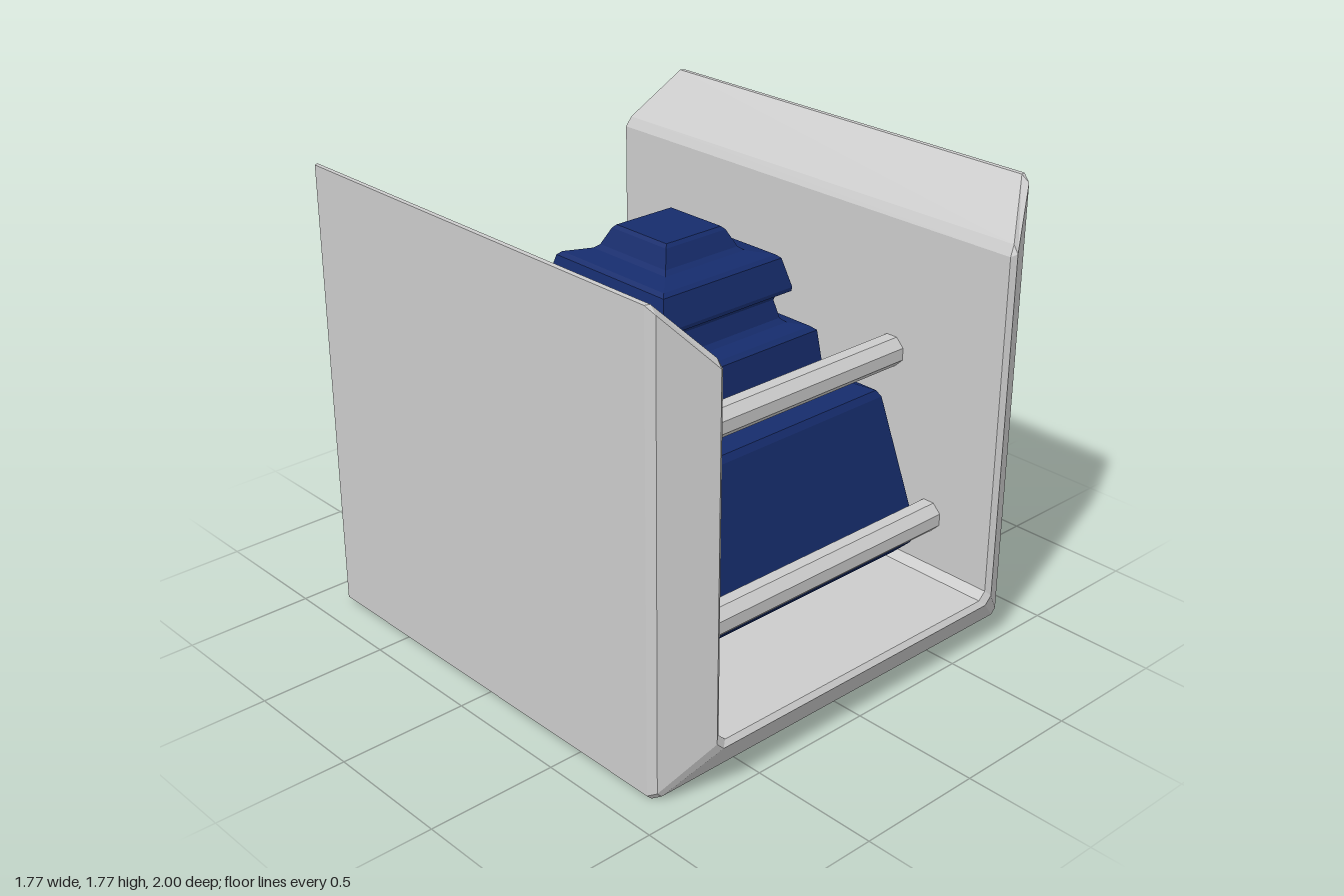
import * as THREE from 'three';

const grey = new THREE.MeshStandardMaterial({ color: 0xcccccc, flatShading: true, side: THREE.DoubleSide });
const navy = new THREE.MeshStandardMaterial({ color: 0x162c6c, flatShading: true, side: THREE.DoubleSide });

// Flat-shaded sheet through rows of [x, y, z] points
function sheet(name, rows, material) {
  const pos = [];
  for (let i = 0; i < rows.length - 1; i++) {
    for (let j = 0; j < rows[i].length - 1; j++) {
      const a = rows[i][j], b = rows[i + 1][j], c = rows[i + 1][j + 1], d = rows[i][j + 1];
      pos.push(...a, ...b, ...c, ...a, ...c, ...d);
    }
  }
  const geometry = new THREE.BufferGeometry();
  geometry.setAttribute('position', new THREE.Float32BufferAttribute(pos, 3));
  geometry.computeVertexNormals();
  const mesh = new THREE.Mesh(geometry, material);
  mesh.name = name;
  return mesh;
}

// U-shaped section: half width, bottom, top, corner chamfer, depth
function uSection([w, b, t, c, z]) {
  return [[w, t, z], [w, b + c, z], [w - c, b, z], [c - w, b, z], [-w, b + c, z], [-w, t, z]];
}

function createHousing() {
  const group = new THREE.Group();
  group.name = 'housing';

  // Outer skin, chamfered front frame and inner lining, open at the back
  const sections = [
    [0.885, 0, 1.775, 0.02, -0.87],
    [0.885, 0, 1.775, 0.02, 0.86],
    [0.87, 0.02, 1.75, 0.02, 0.895],
    [0.70, 0.18, 1.56, 0.03, 1.0],
    [0.68, 0.20, 1.55, 0.03, 0.985],
    [0.68, 0.20, 1.55, 0.03, -1.0],
  ];
  group.add(sheet('housingShell', sections.map(uSection), grey));

  // Sloping top of each side wall: back edge, front edge, frame edge
  const slope = [
    [[0.885, 1.775, -0.87], [0.885, 1.775, 0.86], [0.885, 1.775, 0.86]],
    [[0.868, 1.775, -0.88], [0.865, 1.775, 0.865], [0.87, 1.75, 0.895]],
    [[0.70, 1.59, -0.99], [0.70, 1.59, 0.98], [0.70, 1.56, 1.0]],
    [[0.68, 1.55, -1.0], [0.68, 1.55, 0.985], [0.68, 1.55, 0.985]],
  ];
  for (const s of [1, -1]) {
    const top = sheet(s > 0 ? 'leftWallTop' : 'rightWallTop', slope, grey);
    top.scale.x = s;
    group.add(top);
  }
  return group;
}

// Stepped square hood: front and two sides, with the back open
function createHood() {
  const group = new THREE.Group();
  group.name = 'hood';
  const profile = [
    [0.60, 0.265], [0.645, 0.31], [0.658, 0.345], [0.655, 0.375],
    [0.55, 0.915], [0.535, 0.94], [0.42, 0.99], [0.398, 1.01],
    [0.378, 1.175], [0.36, 1.19], [0.30, 1.203], [0.282, 1.22],
    [0.265, 1.29], [0.27, 1.305], [0.31, 1.325], [0.312, 1.34],
    [0.283, 1.45], [0.268, 1.463], [0.19, 1.478], [0.172, 1.492],
    [0.142, 1.555], [0.13, 1.567],
  ];
  const rows = profile.map(([r, y]) => [[r, y, -r], [r, y, r], [-r, y, r], [-r, y, -r]]);
  group.add(sheet('hoodWalls', rows, navy));

  // Closing plates at the bottom and top
  for (const [name, [r, y], turn] of [
    ['hoodBase', profile[0], Math.PI / 2],
    ['hoodCap', profile[profile.length - 1], -Math.PI / 2],
  ]) {
    const plate = new THREE.Mesh(new THREE.PlaneGeometry(2 * r, 2 * r), navy);
    plate.name = name;
    plate.rotation.x = turn;
    plate.position.y = y;
    group.add(plate);
  }
  return group;
}

// Octagonal crossbar whose back and lower back faces are open
function createBar(name, y, z) {
  const radius = 0.0575 / Math.cos(Math.PI / 8);
  const left = [], right = [];
  for (let i = 0; i <= 6; i++) {
    const a = -5 * Math.PI / 8 + i * Math.PI / 4;
    const p = [radius * Math.sin(a), radius * Math.cos(a)];
    // Angle runs from the lower front, over the top, measured from the front
    left.push([0.68, p[0], p[1]]);
    right.push([-0.68, p[0], p[1]]);
  }
  const bar = sheet(name, [left, right], grey);
  bar.position.set(0, y, z);
  return bar;
}

export function createModel() {
  const model = new THREE.Group();
  model.name = 'hoodInHousing';
  model.add(
    createHousing(),
    createHood(),
    createBar('frontLowerBar', 0.435, 0.693),
    createBar('frontUpperBar', 1.038, 0.472),
    createBar('backBar', 1.038, -0.48),
  );
  return model;
}
